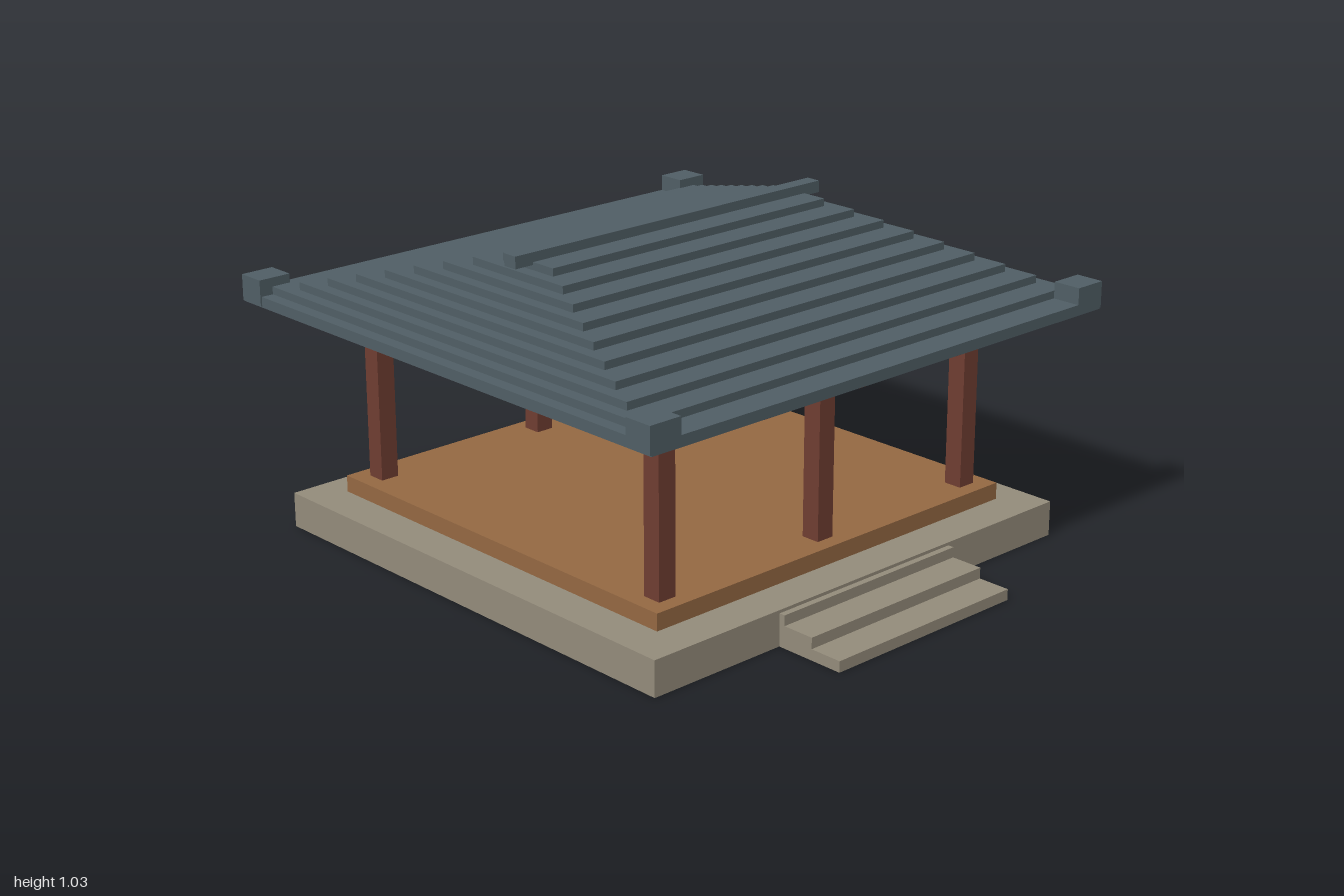
import * as THREE from 'three';

const material = (name, color) => {
  const m = new THREE.MeshStandardMaterial({ color });
  m.name = name;
  return m;
};

export function createModel() {
  const stone = material('stone', 0x938b7a);
  const wood = material('light wood', 0x946842);
  const redWood = material('red wood', 0x6f3d31);
  const tile = material('roof tile', 0x505e65);

  const model = new THREE.Group();
  model.name = 'pavilion';
  // The building sits slightly back so the steps fit in front
  const centreZ = -0.075;

  // Box given by its centre in x and z, its bottom and top, and its width and depth
  const box = (name, mat, x, z, y0, y1, w, d) => {
    const mesh = new THREE.Mesh(new THREE.BoxGeometry(w, y1 - y0, d), mat);
    mesh.name = name;
    mesh.position.set(x, (y0 + y1) / 2, z);
    model.add(mesh);
  };

  // Stone base and three front steps
  box('base', stone, 0, centreZ, 0, 0.113, 1.68, 1.68);
  [[1.0, 0.035], [0.892, 0.07], [0.785, 0.103]].forEach(([front, top]) =>
    box('step', stone, 0, (front + 0.75) / 2, 0, top, 0.72, front - 0.75));

  // Raised floor and the slab of beams over the columns
  box('floor', wood, 0, centreZ, 0.12, 0.174, 1.44, 1.44);
  box('beam', redWood, 0, centreZ, 0.64, 0.695, 1.44, 1.44);

  // Front and back rows of columns, each with a two-tier bracket
  for (const side of [-1, 1]) {
    for (const x of [-0.635, 0, 0.635]) {
      const z = centreZ + side * 0.639;
      box('column', redWood, x, z, 0.113, 0.64, 0.062, 0.062);
      box('lowerBracket', wood, x, z, 0.662, 0.702, 0.18, 0.155);
      box('upperBracket', wood, x, z, 0.71, 0.746, 0.236, 0.096);
    }
  }

  // Stepped hip roof
  box('eave', tile, 0, centreZ, 0.746, 0.78, 1.85, 1.85);
  for (let i = 1; i <= 9; i++) {
    const top = 0.78 + i * 0.0245;
    box('roofTier', tile, 0, -0.0775, top - 0.0245, top,
      2 * (0.925 - i * 0.0407), 2 * (0.9225 - i * 0.09));
  }
  box('ridge', tile, 0, -0.0775, 0.992, 1.03, 1.25, 0.05);

  // Corner blocks on the eaves
  for (const sx of [-1, 1]) {
    for (const sz of [-1, 1]) {
      box('cornerBlock', tile, sx * 0.875, centreZ + sz * 0.878, 0.75, 0.833, 0.11, 0.094);
    }
  }

  return model;
}
